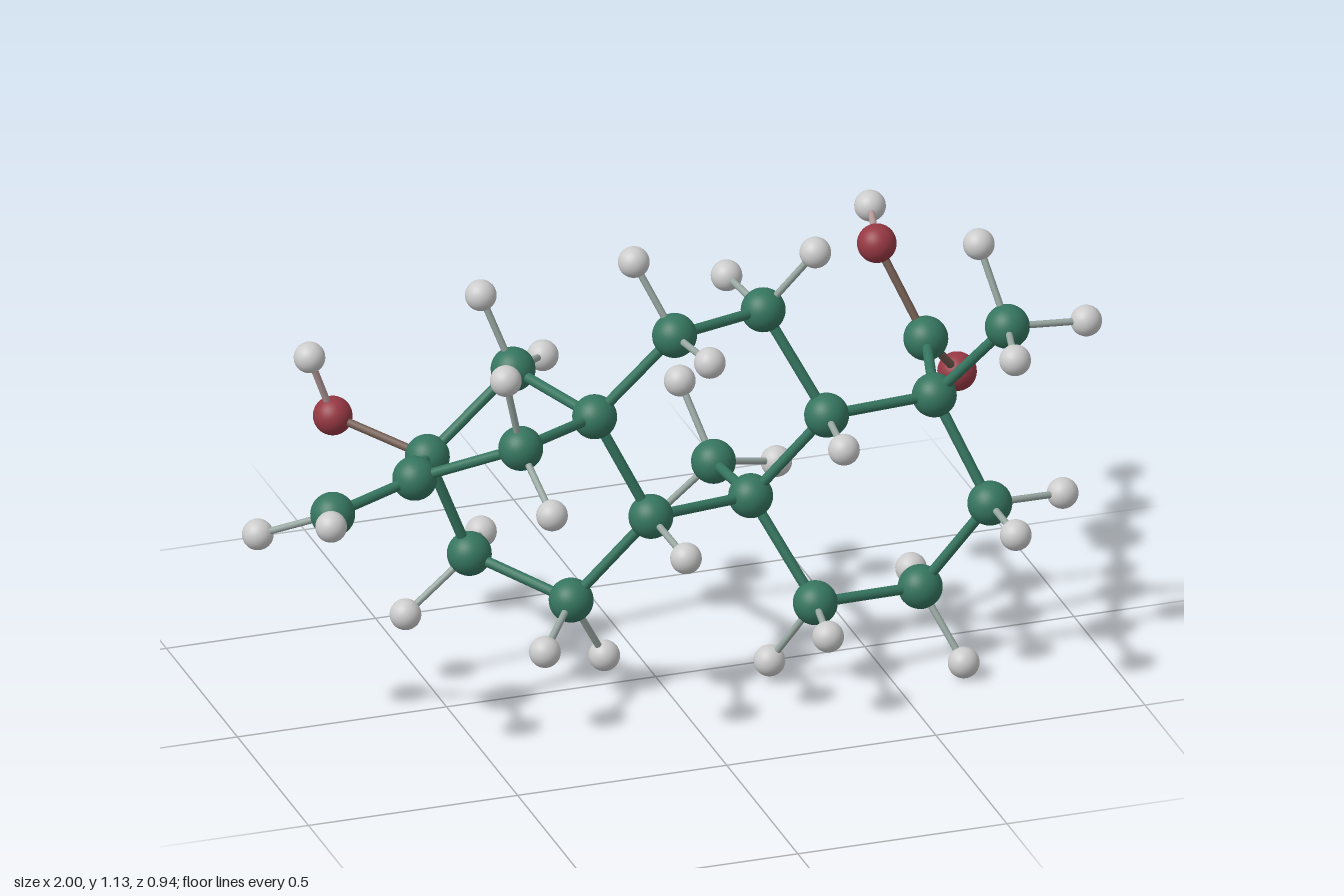
import * as THREE from 'three';

// Ball types: radius and colour
const TYPES = {
  green: { radius: 0.051, color: 0x35755f },
  red: { radius: 0.045, color: 0x963843 },
  grey: { radius: 0.036, color: 0xcccccc },
};

// Skeleton nodes: type, position, then the small grey balls attached to each
const NODES = {
  tipEnd: ['green', [-0.83, 0.61, 0.17], [[-0.895, 0.668, 0.35], [-0.97, 0.53, 0.055]]],
  tip: ['green', [-0.61, 0.636, 0.10]],
  bridge: ['green', [-0.50, 0.57, -0.135]],
  bridgeRed: ['red', [-0.66, 0.61, -0.33], [[-0.72, 0.77, -0.317]]],
  upperFront: ['green', [-0.41, 0.75, 0.257], [[-0.457, 0.94, 0.29], [-0.395, 0.658, 0.433]]],
  upperBack: ['green', [-0.29, 0.75, -0.15], [[-0.356, 0.93, -0.183], [-0.168, 0.70, -0.30]]],
  lowerBack: ['green', [-0.40, 0.313, -0.134], [[-0.554, 0.186, -0.13], [-0.313, 0.278, -0.308]]],
  lowerFront: ['green', [-0.227, 0.262, 0.073], [[-0.345, 0.222, 0.236], [-0.136, 0.095, 0.038]]],
  hub: ['green', [-0.18, 0.725, 0.10]],
  middleLeft: ['green', [-0.06, 0.477, 0.143], [[-0.043, 0.457, 0.34]]],
  topLeft: ['green', [-0.01, 0.93, 0.162], [[-0.088, 1.10, 0.105], [0.008, 0.945, 0.357]]],
  topRight: ['green', [0.24, 0.907, 0.05], [[0.345, 1.06, 0.108], [0.218, 0.911, -0.143]]],
  middleRight: ['green', [0.36, 0.667, 0.143], [[0.337, 0.668, 0.333]]],
  middle: ['green', [0.21, 0.447, 0.05]],
  backArm: ['green', [0.215, 0.41, -0.226],
    [[0.094, 0.273, -0.277], [0.388, 0.355, -0.293], [0.168, 0.575, -0.325]]],
  bottomLeft: ['green', [0.323, 0.217, 0.173], [[0.238, 0.053, 0.10], [0.29, 0.22, 0.36]]],
  bottomRight: ['green', [0.59, 0.196, 0.125], [[0.66, 0.04, 0.225], [0.632, 0.153, -0.063]]],
  farRight: ['green', [0.73, 0.418, 0.203], [[0.92, 0.394, 0.156], [0.725, 0.426, 0.40]]],
  upperRight: ['green', [0.634, 0.655, 0.095]],
  upperArm: ['green', [0.767, 0.86, 0.217],
    [[0.725, 1.038, 0.14], [0.96, 0.84, 0.204], [0.72, 0.868, 0.41]]],
  fork: ['green', [0.703, 0.67, -0.168]],
  forkUpperRed: ['red', [0.618, 0.878, -0.263], [[0.66, 0.89, -0.434]]],
  forkLowerRed: ['red', [0.815, 0.522, -0.278]],
};

// Chains of joined nodes
const CHAINS = [
  'tipEnd tip bridge bridgeRed',
  'tip upperFront hub upperBack bridge lowerBack lowerFront middleLeft hub',
  'hub topLeft topRight middleRight middle middleLeft',
  'backArm middle bottomLeft bottomRight farRight upperRight middleRight',
  'upperArm upperRight fork forkUpperRed',
  'fork forkLowerRed',
];

const UP = new THREE.Vector3(0, 1, 0);

export function createModel() {
  const model = new THREE.Group();
  const balls = new THREE.Group();
  const rods = new THREE.Group();
  balls.name = 'balls';
  rods.name = 'rods';
  model.add(balls, rods);

  const materials = new Map();
  const materialFor = (color) => {
    if (!materials.has(color)) materials.set(color, new THREE.MeshStandardMaterial({ color }));
    return materials.get(color);
  };
  const spheres = {};
  for (const type in TYPES) spheres[type] = new THREE.SphereGeometry(TYPES[type].radius, 32, 20);

  const addBall = (name, type, position) => {
    const ball = new THREE.Mesh(spheres[type], materialFor(TYPES[type].color));
    ball.name = name;
    ball.position.set(...position);
    balls.add(ball);
  };

  // A rod between two balls, its colour halfway between theirs
  const addRod = (name, typeA, a, typeB, b, radius) => {
    const start = new THREE.Vector3(...a);
    const span = new THREE.Vector3(...b).sub(start);
    const color = new THREE.Color(TYPES[typeA].color).lerp(new THREE.Color(TYPES[typeB].color), 0.5);
    const geometry = new THREE.CylinderGeometry(radius, radius, span.length(), 14, 1, true);
    const rod = new THREE.Mesh(geometry, materialFor(color.getHex()));
    rod.name = name;
    rod.position.copy(start).addScaledVector(span, 0.5);
    rod.quaternion.setFromUnitVectors(UP, span.normalize());
    rods.add(rod);
  };

  // Skeleton balls and their small grey satellites
  for (const [name, [type, position, satellites = []]] of Object.entries(NODES)) {
    addBall(`${name}Ball`, type, position);
    satellites.forEach((end, i) => {
      addBall(`${name}SmallBall${i + 1}`, 'grey', end);
      addRod(`${name}ThinRod${i + 1}`, type, position, 'grey', end, 0.008);
    });
  }

  // Skeleton rods
  for (const chain of CHAINS) {
    const names = chain.split(' ');
    for (let i = 1; i < names.length; i++) {
      const [typeA, a] = NODES[names[i - 1]];
      const [typeB, b] = NODES[names[i]];
      const radius = typeA === typeB ? 0.012 : 0.0095;
      addRod(`${names[i - 1]}Rod`, typeA, a, typeB, b, radius);
    }
  }
  return model;
}
